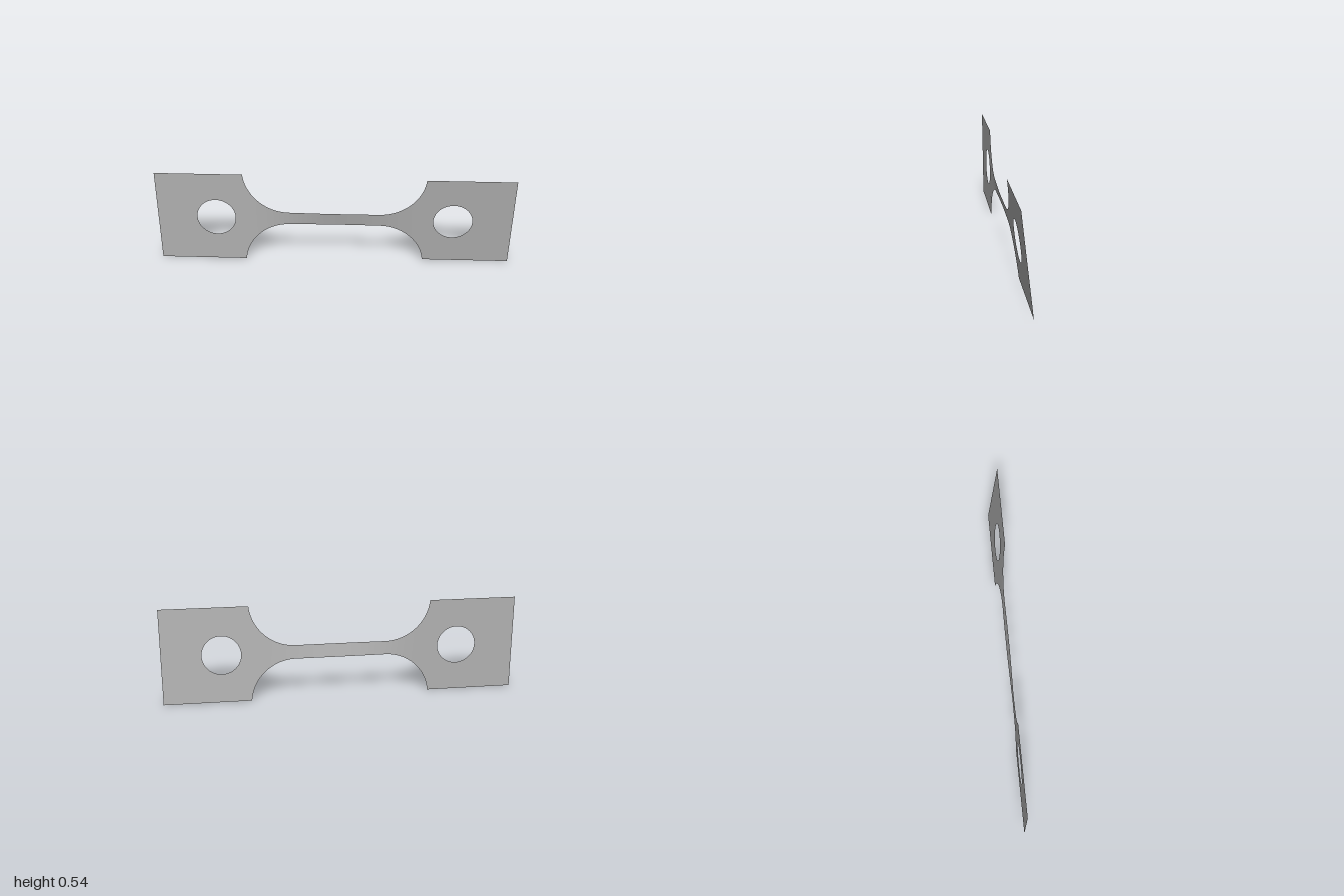
import * as THREE from 'three';

const MID = 0.2715, TAB_X = 0.509, FILLET_X = 0.255, FILLET_R = 0.255, NECK = 0.0385;

// Twist angle about the long axis, strongest in the middle of the neck
function twist(x) {
  const s = THREE.MathUtils.smoothstep;
  return 0.013 + 0.187 * s(x, -0.48, 0.02) - 0.082 * s(x, 0.05, 0.48);
}

// Half height of the waisted part
function halfHeight(x) {
  const d = Math.max(0, Math.abs(x) - FILLET_X);
  return NECK + FILLET_R - Math.sqrt(Math.max(0, FILLET_R ** 2 - d * d));
}

// Turn every point of a flat sheet about the long axis
function applyTwist(geometry) {
  const p = geometry.attributes.position;
  for (let i = 0; i < p.count; i++) {
    const x = p.getX(i), y = p.getY(i), a = twist(x);
    p.setXYZ(i, x, MID + y * Math.cos(a), y * Math.sin(a));
  }
  geometry.computeVertexNormals();
  return geometry;
}

export function createModel() {
  const group = new THREE.Group();
  group.name = 'twistedTestStrip';
  const steel = new THREE.MeshStandardMaterial({ color: 0xb0b0b0, side: THREE.DoubleSide });
  steel.name = 'grey steel';
  const add = (name, geometry) => {
    const mesh = new THREE.Mesh(applyTwist(geometry), steel);
    mesh.name = name;
    group.add(mesh);
  };

  // Square end tabs, each with a round hole
  for (const side of [-1, 1]) {
    const h = halfHeight(TAB_X);
    const x0 = side < 0 ? -1 : TAB_X, x1 = side < 0 ? -TAB_X : 1;
    const shape = new THREE.Shape();
    shape.moveTo(x0, -h).lineTo(x1, -h).lineTo(x1, h).lineTo(x0, h).closePath();
    const hole = new THREE.Path();
    hole.absarc(side * 0.668, 0, 0.109, 0, Math.PI * 2, true);
    shape.holes.push(hole);
    add(side < 0 ? 'rightTab' : 'leftTab', new THREE.ShapeGeometry(shape, 32));
  }

  // Neck with fillets, columns packed closer where the fillet is steep
  const FILLET_STEPS = 20, NECK_STEPS = 30, xs = [];
  const end = Math.asin((TAB_X - FILLET_X) / FILLET_R);
  const filletX = (i) => FILLET_X + FILLET_R * Math.sin(end * i / FILLET_STEPS);
  for (let i = FILLET_STEPS; i > 0; i--) xs.push(-filletX(i));
  for (let i = 0; i <= NECK_STEPS; i++) xs.push(FILLET_X * (2 * i / NECK_STEPS - 1));
  for (let i = 1; i <= FILLET_STEPS; i++) xs.push(filletX(i));

  const neck = new THREE.PlaneGeometry(1, 2, xs.length - 1, 6);
  const p = neck.attributes.position;
  for (let i = 0; i < p.count; i++) {
    const x = xs[i % xs.length];
    p.setXY(i, x, p.getY(i) * halfHeight(x));
  }
  add('twistedNeck', neck);
  return group;
}
